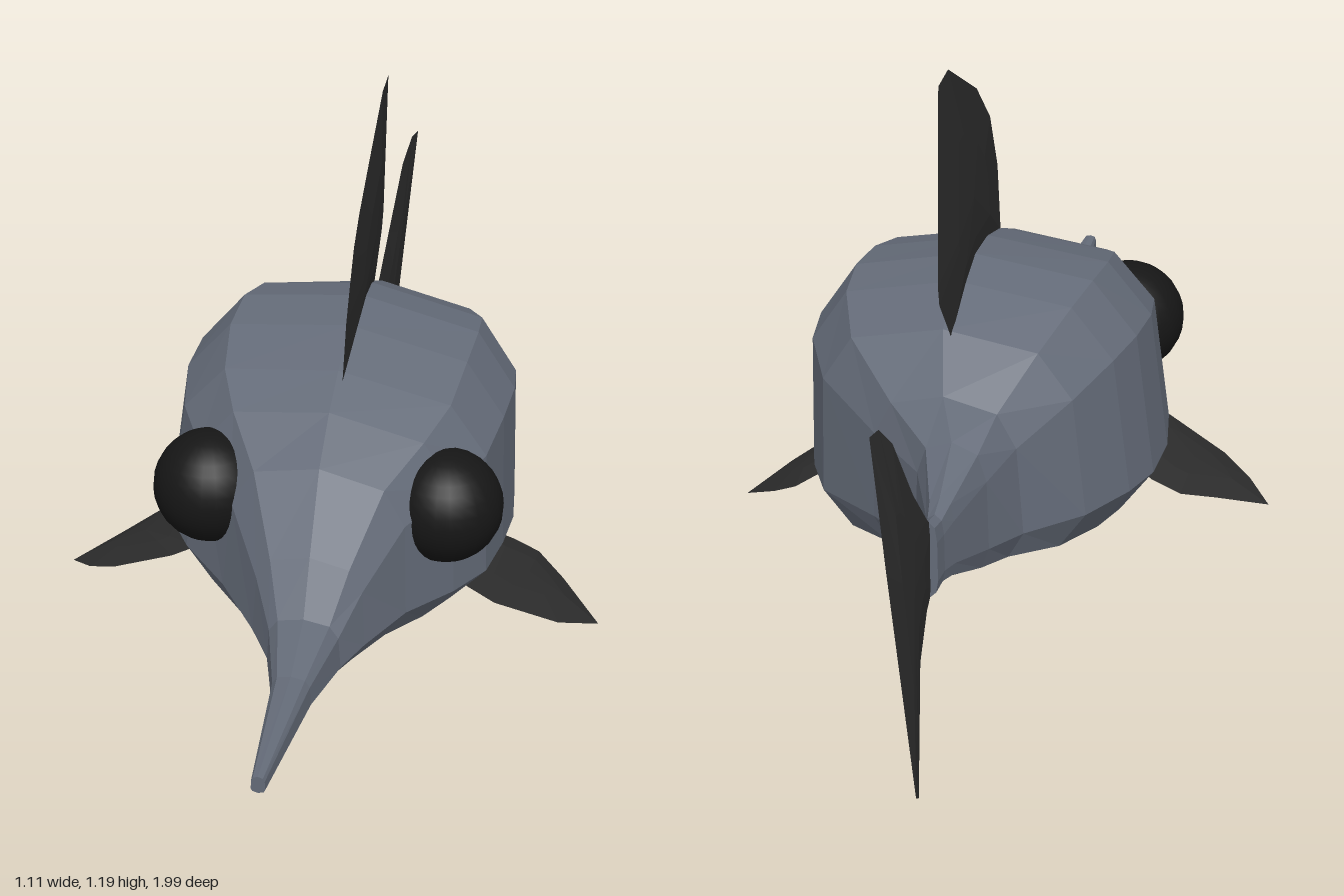
import * as THREE from 'three';

const paint = (color, extra = {}) => {
  const m = new THREE.MeshStandardMaterial(extra);
  m.color.set(color);
  return m;
};

function meshFrom(name, points, index, material) {
  const g = new THREE.BufferGeometry();
  g.setAttribute('position', new THREE.Float32BufferAttribute(points.flat(), 3));
  g.setIndex(index);
  const flat = g.toNonIndexed();
  flat.computeVertexNormals();
  const mesh = new THREE.Mesh(flat, material);
  mesh.name = name;
  return mesh;
}

// Body stations, nose to tail: z, centre x, half width, top y, bottom y, roll
const STATIONS = [
  [0.99, 0.093, 0.014, 0.31, 0.275, 0],
  [0.65, 0.07, 0.04, 0.325, 0.25, 0],
  [0.49, 0.055, 0.075, 0.36, 0.23, 0],
  [0.42, 0.048, 0.115, 0.46, 0.222, -0.02],
  [0.31, 0.035, 0.19, 0.6, 0.212, -0.04],
  [0.2, 0.022, 0.28, 0.67, 0.2, -0.06],
  [0.1, 0.015, 0.335, 0.715, 0.19, -0.06],
  [-0.03, 0.005, 0.355, 0.755, 0.175, -0.06],
  [-0.15, 0.003, 0.355, 0.768, 0.166, -0.06],
  [-0.25, 0.005, 0.335, 0.75, 0.178, -0.06],
  [-0.37, 0.0, 0.275, 0.7, 0.2, -0.05],
  [-0.47, -0.025, 0.155, 0.605, 0.235, -0.03],
  [-0.57, -0.068, 0.075, 0.562, 0.27, 0],
  [-0.7, -0.086, 0.03, 0.512, 0.33, 0],
  [-0.74, -0.088, 0.02, 0.495, 0.34, 0],
  [-0.78, -0.088, 0.019, 0.5, 0.335, 0],
];
// Half cross-section: side fraction, height fraction
const HALF = [[0, 1], [0.7, 0.93], [0.94, 0.74], [1, 0.24], [0.79, 0.09], [0, 0]];
const RING = [...HALF, ...HALF.slice(1, 5).reverse().map(([u, v]) => [-u, v])];

function buildBody(group) {
  const n = RING.length, last = (STATIONS.length - 1) * n;
  const points = STATIONS.flatMap(([z, cx, w, top, bottom, roll]) =>
    RING.map(([u, v]) => {
      const x = u * w, h = top - bottom, y = (v - 0.5) * h;
      return [cx + x - y * roll, bottom + h / 2 + y + x * roll, z];
    }));
  const back = [], belly = [];
  for (let i = 0; i < STATIONS.length - 1; i++) {
    for (let j = 0; j < n; j++) {
      const a = i * n + j, b = i * n + (j + 1) % n;
      (j === 4 || j === 5 ? belly : back).push(a, b, b + n, a, b + n, a + n);
    }
  }
  // end caps
  for (let j = 1; j < n - 1; j++) {
    back.push(0, j + 1, j, last, last + j, last + j + 1);
  }
  group.add(meshFrom('body', points, back, paint(0x646b78)));
  group.add(meshFrom('belly', points, belly, paint(0x444444)));
}

// Thin lens-shaped fin: outline at zero thickness, swelling to an inner ring
function fin(name, outline, thickness, place) {
  const n = outline.length;
  const cu = outline.reduce((s, p) => s + p[0], 0) / n;
  const cv = outline.reduce((s, p) => s + p[1], 0) / n;
  const points = outline.map(([u, v]) => place(u, v, 0));
  const index = [];
  for (const side of [1, -1]) {
    const start = points.length, t = side * thickness / 2;
    outline.forEach(([u, v]) => points.push(place(cu + (u - cu) * 0.5, cv + (v - cv) * 0.5, t * 0.8)));
    const centre = points.push(place(cu, cv, t)) - 1;
    for (let j = 0; j < n; j++) {
      const k = (j + 1) % n;
      index.push(j, k, start + k, j, start + k, start + j, start + j, start + k, centre);
    }
  }
  return meshFrom(name, points, index, paint(0x2c2c2c, { side: THREE.DoubleSide, flatShading: true }));
}

// Eyeball sitting in a bevelled round socket
function eye(name, position, nx, nz) {
  const g = new THREE.Group();
  g.name = name;
  const ball = new THREE.Mesh(new THREE.SphereGeometry(0.116, 24, 16), paint(0x161616));
  ball.name = 'eyeball';
  const socketMat = paint(0x646b78, { flatShading: true });
  const socket = new THREE.Mesh(new THREE.CylinderGeometry(0.138, 0.143, 0.09, 16), socketMat);
  socket.name = 'socket';
  socket.rotation.x = Math.PI / 2;
  socket.position.z = -0.09;
  const rim = new THREE.Mesh(new THREE.CylinderGeometry(0.118, 0.138, 0.015, 16), socketMat);
  rim.name = 'socketRim';
  rim.rotation.x = Math.PI / 2;
  rim.position.z = -0.0375;
  g.add(ball, socket, rim);
  g.position.set(...position);
  g.rotation.y = Math.atan2(nx, nz);
  return g;
}

export function createModel() {
  const group = new THREE.Group();
  group.name = 'fish';
  buildBody(group);

  group.add(eye('leftEye', [0.275, 0.488, 0.19], 0.72, 0.69));
  group.add(eye('rightEye', [-0.205, 0.492, 0.225], -0.62, 0.78));

  // dorsal fin, outline in (z, y), leaning slightly
  group.add(fin('dorsalFin', [
    [0.12, 0.7], [0.135, 0.84], [0.1, 0.96], [0, 1.06], [-0.23, 1.19], [-0.32, 1.19],
    [-0.45, 0.83], [-0.45, 0.79], [-0.37, 0.68], [-0.15, 0.72],
  ], 0.034, (z, y, t) => [0.037 + z * 0.1 + (y - 0.77) * 0.07 + t, y, z]));

  // tail fin, outline in (z, y), twisted toward the top
  group.add(fin('tailFin', [
    [-0.76, 0.48], [-0.79, 0.51], [-0.85, 0.59], [-0.92, 0.73], [-0.965, 0.78], [-1, 0.78], [-1, 0.5],
    [-0.985, 0.02], [-0.96, 0.005], [-0.93, 0.05], [-0.86, 0.24], [-0.8, 0.32], [-0.76, 0.35],
  ], 0.016, (z, y, t) => [-0.09 + (y - 0.4) * 0.09 * (-z - 0.77) / 0.2 + t, y, z]));

  // side fins, outline in (x, z), drooping outward
  group.add(fin('leftFin', [
    [0.28, -0.13], [0.35, -0.165], [0.4, -0.18], [0.46, -0.145], [0.55, -0.07],
    [0.48, 0.02], [0.36, 0.1], [0.28, 0.11],
  ], 0.03, (x, z, t) => [x + t * 0.5, 0.26 - (x - 0.3) * 0.63 + t, z]));
  group.add(fin('rightFin', [
    [-0.26, -0.05], [-0.34, -0.08], [-0.4, -0.075], [-0.46, -0.02], [-0.555, 0.06],
    [-0.5, 0.12], [-0.435, 0.16], [-0.3, 0.19], [-0.25, 0.18],
  ], 0.03, (x, z, t) => [x - t * 0.5, 0.295 + (x + 0.3) * 0.45 + t, z]));

  return group;
}
